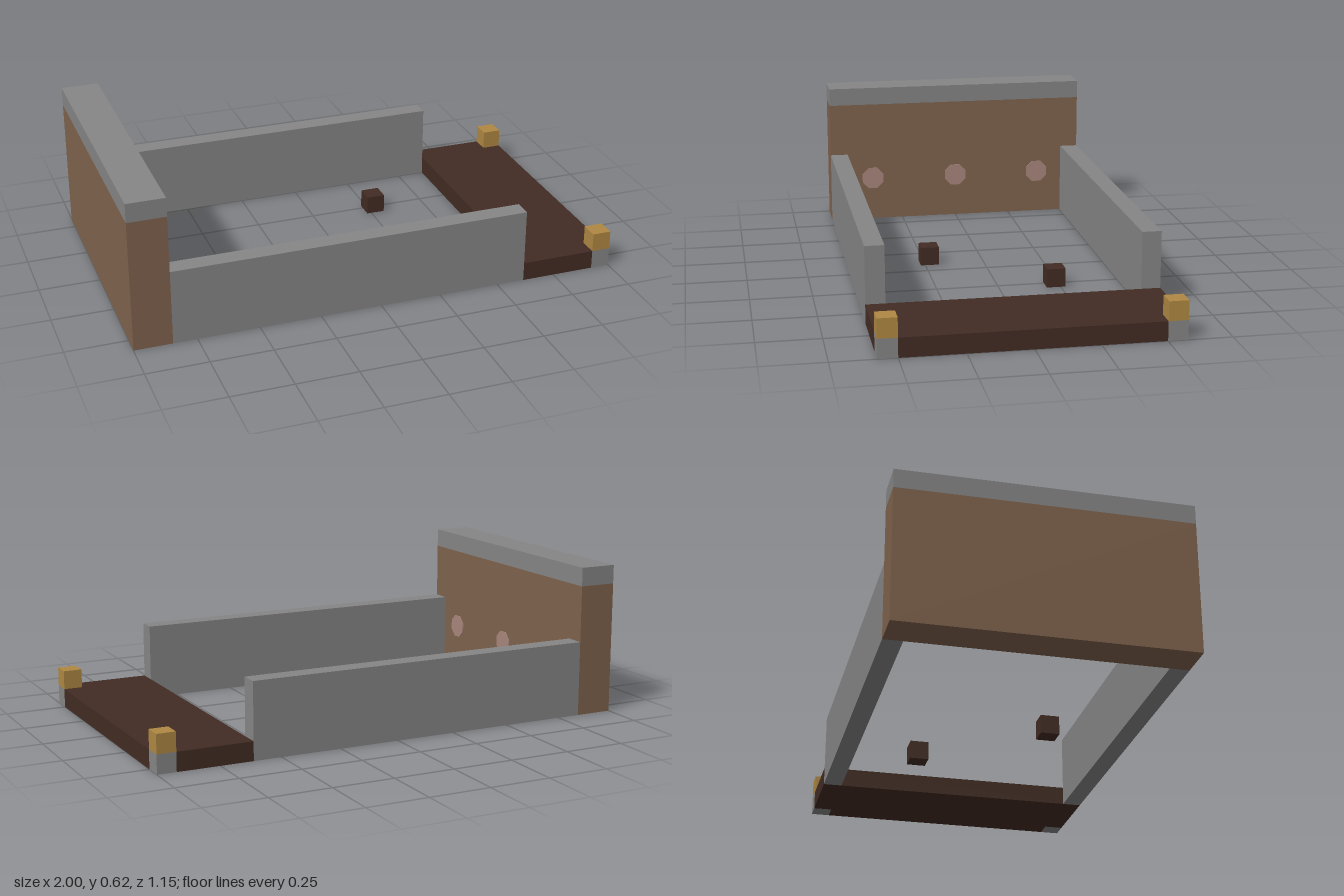
import * as THREE from 'three';

const U = 1 / 13; // one module of the design grid

const material = (name, color) => {
  const m = new THREE.MeshStandardMaterial({ color });
  m.name = name;
  return m;
};

export function createModel() {
  const stone = material('grey stone', 0x868686);
  const wood = material('brown wood', 0x80634d);
  const darkWood = material('dark wood', 0x422c23);
  const gold = material('gold', 0xb08843);
  const pink = material('dusty pink', 0xa9877c);

  const group = new THREE.Group();
  group.name = 'enclosure';

  const add = (name, geometry, mat, x, y, z) => {
    const mesh = new THREE.Mesh(geometry, mat);
    mesh.name = name;
    mesh.position.set(x, y, z);
    group.add(mesh);
    return mesh;
  };
  // Box given by its minimum and maximum corners, in modules
  const box = (name, mat, [x0, y0, z0], [x1, y1, z1]) =>
    add(name, new THREE.BoxGeometry((x1 - x0) * U, (y1 - y0) * U, (z1 - z0) * U), mat,
      (x0 + x1) / 2 * U, (y0 + y1) / 2 * U, (z0 + z1) / 2 * U);

  // Tall end wall with its stone cap
  box('endWall', wood, [-13, 0, -7.5], [-11, 7, 7.5]);
  box('endWallCap', stone, [-13, 7, -7.5], [-11, 8, 7.5]);

  // Octagonal discs set on the inner face of the end wall
  const disc = new THREE.CylinderGeometry(0.052, 0.052, 0.004, 8);
  disc.rotateY(Math.PI / 8).rotateZ(-Math.PI / 2);
  for (const z of [-5, 0, 5]) add('wallDisc', disc, pink, -11 * U + 0.002, 2.5 * U, z * U);

  // Low platform, notched at its two outer corners for the posts
  const outline = new THREE.Shape([
    [8, -7.5], [12, -7.5], [12, -6.5], [13, -6.5],
    [13, 6.5], [12, 6.5], [12, 7.5], [8, 7.5],
  ].map(([x, y]) => new THREE.Vector2(x * U, y * U)));
  const platform = new THREE.ExtrudeGeometry(outline, { depth: U, bevelEnabled: false });
  platform.rotateX(-Math.PI / 2);
  add('platform', platform, darkWood, 0, 0, 0);

  // Side walls and corner posts, mirrored front to back
  for (const s of [-1, 1]) {
    const z0 = s * 7 - 0.5, z1 = s * 7 + 0.5;
    box('sideWall', stone, [-11, 0, z0], [8, 4, z1]);
    box('postBase', stone, [12, 0, z0], [13, 1, z1]);
    box('postTop', gold, [12, 1, z0], [13, 2, z1]);
  }

  // Small loose blocks on the floor
  for (const [x, z] of [[3.5, -3], [-1.5, 3]]) {
    box('floorBlock', darkWood, [x - 0.5, 0, z - 0.5], [x + 0.5, 1, z + 0.5]);
  }

  return group;
}
